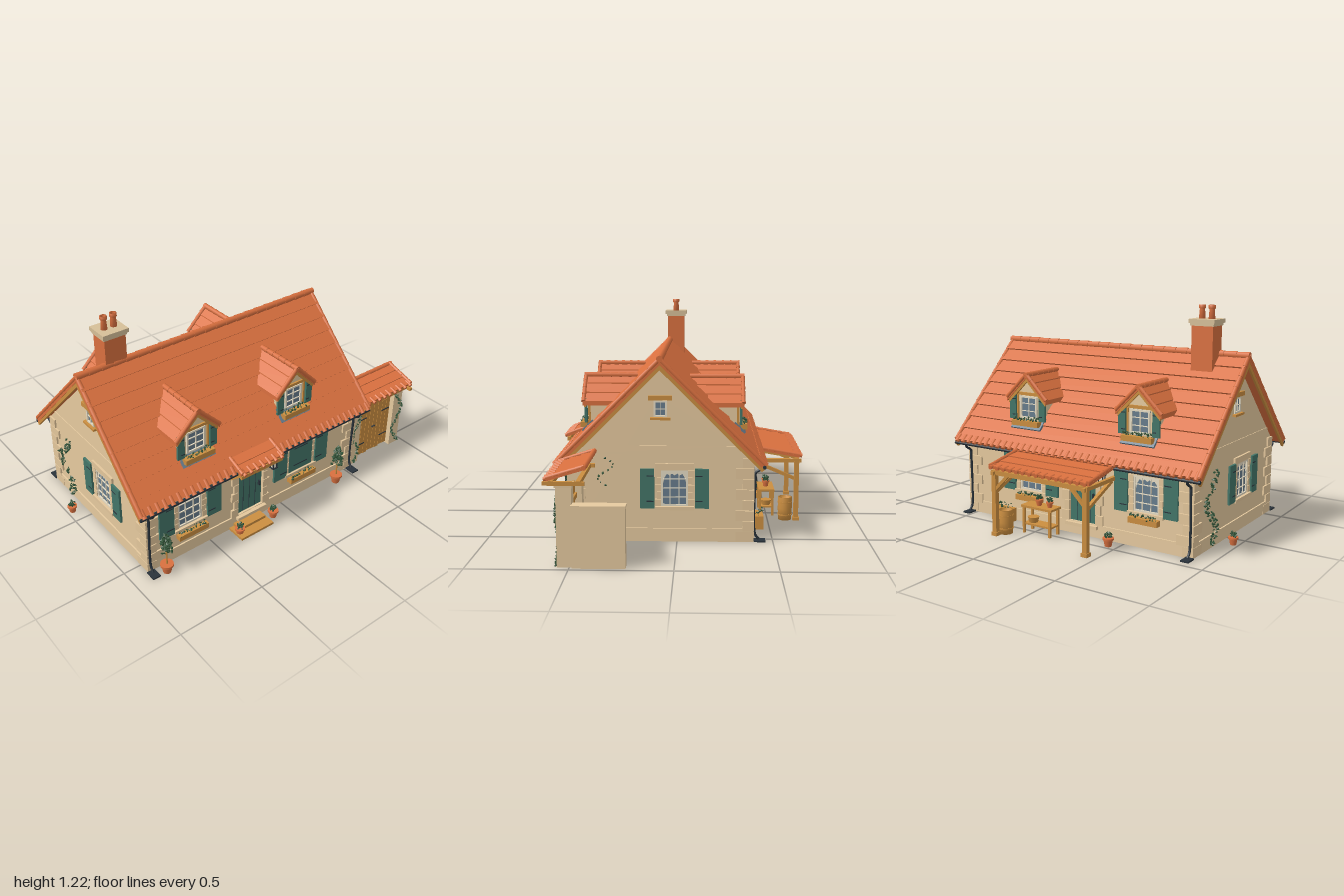
import * as THREE from 'three';
import { mergeGeometries } from 'three/addons/utils/BufferGeometryUtils.js';

const V = (x, y, z) => new THREE.Vector3(x, y, z);
const colours = { tile: 0xd9703f, plaster: 0xe6ca9f, quoin: 0xe3c69b, stone: 0xd6bf98, wood: 0xcb8e40, paint: 0x437568, glass: 0x677c8c, cream: 0xe6dcc4, iron: 0x29323a, leaf: 0x34563a };
const RZ = 0.085, RY = 0.962; // main ridge

export function createModel() {
  const M = {};
  for (const k in colours) { M[k] = new THREE.MeshStandardMaterial({ color: colours[k] }); M[k].name = k; }
  const root = new THREE.Group();
  root.name = 'cottage';
  let seed = 7;
  const rnd = () => (seed = (seed * 16807) % 2147483647) / 2147483647;

  const add = (p, name, mat, geo, x = 0, y = 0, z = 0) => {
    const m = new THREE.Mesh(geo, M[mat]);
    m.name = name; m.position.set(x, y, z); p.add(m);
    return m;
  };
  const box = (p, name, mat, w, h, d, x, y, z) => add(p, name, mat, new THREE.BoxGeometry(w, h, d), x, y, z);
  const cyl = (p, name, mat, rt, rb, h, x, y, z, n = 12) => add(p, name, mat, new THREE.CylinderGeometry(rt, rb, h, n), x, y, z);
  const group = (p, name, x, y, z, ry = 0) => {
    const g = new THREE.Group();
    g.name = name; g.position.set(x, y, z); g.rotation.y = ry; p.add(g);
    return g;
  };
  const rect = (u0, v0, u1, v1) => new THREE.Path([[u0, v0], [u1, v0], [u1, v1], [u0, v1]].map(a => new THREE.Vector2(...a)));
  const extrude = (pts, depth, holes = []) => {
    const s = new THREE.Shape(pts.map(a => new THREE.Vector2(...a)));
    s.holes = holes;
    return new THREE.ExtrudeGeometry(s, { depth, bevelEnabled: false });
  };
  // profile given in (z, y), stretched along x
  const prism = (pts, x0, x1, holes) => extrude(pts, x1 - x0, holes).rotateY(-Math.PI / 2).translate(x1, 0, 0);
  const rod = (a, b, r0, r1, n = 8) => {
    const d = b.clone().sub(a), g = new THREE.CylinderGeometry(r1, r0, d.length(), n);
    g.applyQuaternion(new THREE.Quaternion().setFromUnitVectors(V(0, 1, 0), d.normalize()));
    return g.translate((a.x + b.x) / 2, (a.y + b.y) / 2, (a.z + b.z) / 2);
  };
  const beam = (p, name, mat, a, b, t) => {
    const m = box(p, name, mat, t, a.distanceTo(b), t, 0, 0, 0);
    m.position.copy(a).lerp(b, 0.5);
    m.quaternion.setFromUnitVectors(V(0, 1, 0), b.clone().sub(a).normalize());
  };
  // overlapping round cap tiles from a to b
  const caps = (p, name, a, b, n, r) => add(p, name, 'tile', mergeGeometries(Array.from({ length: n }, (_, i) =>
    rod(a.clone().lerp(b, i / n), a.clone().lerp(b, (i + 1.08) / n), r, r * 0.84))));
  // slab with stepped courses, from top (z, y) to bottom (z, y)
  const slab = (zt, yt, zb, yb, n, step, t, x0, x1) => {
    const dz = zb - zt, dy = yb - yt, l = Math.hypot(dz, dy), nz = -dy / l * Math.sign(dz), ny = Math.abs(dz) / l;
    const pts = [];
    for (let i = 0; i < n; i++) {
      const f = i / n, e = (i + 1) / n;
      pts.push([zt + dz * f, yt + dy * f], [zt + dz * e + nz * step, yt + dy * e + ny * step]);
    }
    pts.push([zb - nz * t, yb - ny * t], [zt - nz * t, yt - ny * t]);
    return prism(pts, x0, x1);
  };
  const eaveTiles = (p, x0, x1, zt, yt, zb, yb, len, r) => {
    const e = V(0, yb, zb), s = V(0, yt, zt).sub(e).setLength(len), n = Math.round((x1 - x0) / 0.042), list = [];
    for (let i = 0; i < n; i++) {
      const x = x0 + (i + 0.5) * (x1 - x0) / n;
      list.push(rod(V(x, yb - s.y * 0.3, zb - s.z * 0.3), V(x, yb + s.y * 0.7, zb + s.z * 0.7), r, r * 0.8));
    }
    add(p, 'eaveTiles', 'tile', mergeGeometries(list));
  };
  const leanTo = (name, x0, x1, zt, yt, zb, yb, n) => {
    const g = group(root, name, 0, 0, 0);
    add(g, 'tileCourses', 'tile', slab(zt, yt, zb, yb, n, 0.006, 0.01, x0, x1));
    eaveTiles(g, x0, x1, zt, yt, zb, yb, 0.045, 0.011);
    for (const x of [x0 + 0.01, x1 - 0.01]) caps(g, 'vergeTiles', V(x, yb + 0.005, zb), V(x, yt + 0.005, zt), n + 2, 0.011);
  };
  const foliage = (p, name, n, s, place) => add(p, name, 'leaf', mergeGeometries(Array.from({ length: n }, (_, i) => {
    const v = place(i / n);
    return new THREE.OctahedronGeometry(s * (0.7 + 0.6 * rnd()), 0).scale(1, 0.8, 0.6).rotateY(rnd() * 6).rotateX(rnd() * 3).translate(v.x, v.y, v.z);
  })));
  const pot = (x, y, z, s, kind) => {
    const g = group(root, 'pottedPlant', x, y, z);
    cyl(g, 'pot', 'tile', 0.85 * s, 0.6 * s, 1.3 * s, 0, 0.65 * s, 0, 14);
    cyl(g, 'potRim', 'tile', s, s, 0.35 * s, 0, 1.35 * s, 0, 14);
    const tree = kind === 'tree';
    if (tree) cyl(g, 'trunk', 'wood', 0.004, 0.005, 0.1, 0, 0.09, 0, 6);
    foliage(g, 'leaves', tree ? 90 : 25, tree ? 0.011 : 0.009, f => {
      const a = rnd() * 6.28, r = (tree ? 0.036 * Math.sqrt(1 - f * 0.85) : 0.6 * s) * Math.sqrt(rnd());
      return V(Math.cos(a) * r, (tree ? 0.14 + f * 0.105 : 1.5 * s + f * s), Math.sin(a) * r);
    });
  };
  const planter = (p, w, h, d, x, y, z) => {
    const g = group(p, 'windowBox', x, y, z);
    box(g, 'trough', 'wood', w, h, d, 0, 0, 0);
    foliage(g, 'leaves', Math.round(w * 180), 0.008, f => V((f - 0.5) * w * 0.9, h / 2 + rnd() * 0.022 - 0.004, (rnd() - 0.5) * d));
  };
  // window facing +z, origin at the middle of the pane on the wall surface
  const windowUnit = (p, name, w, h, sw, o = {}) => {
    const g = group(p, name, o.x || 0, o.y || 0, o.z || 0, o.ry || 0);
    box(g, 'pane', 'glass', w, h, 0.008, 0, 0, -0.004);
    if (!o.closed) {
      for (const s of [-1, 1]) {
        box(g, 'frameSide', 'cream', 0.01, h, 0.016, s * (w / 2 - 0.005), 0, 0);
        box(g, 'frameRail', 'cream', w, 0.01, 0.016, 0, s * (h / 2 - 0.005), 0);
      }
      const c = o.cols || 3, r = o.rows || 4;
      for (let i = 1; i < c; i++) box(g, 'verticalBar', 'cream', 0.004, h, 0.012, (i / c - 0.5) * w, 0, 0);
      for (let i = 1; i < r; i++) box(g, 'crossBar', 'cream', w, 0.004, 0.012, 0, (i / r - 0.5) * h, 0);
    } else {
      box(g, 'closedShutter', 'paint', w, h, 0.01, 0, 0, 0.008);
      for (const y of [-0.3, 0.3]) box(g, 'strap', 'iron', w * 0.6, 0.005, 0.012, 0, y * h, 0.009);
    }
    if (o.curtain) { // scalloped lace drawn to the sides
      const pts = [[-w / 2, h / 2], [-w / 2, -h * 0.3]];
      for (let i = 0; i <= 10; i++) {
        const u = i / 5 - 1;
        pts.push([u * w * 0.48, h * (0.4 - 0.45 * u ** 8 - (i % 2) * 0.05)]);
      }
      pts.push([w / 2, -h * 0.3], [w / 2, h / 2]);
      add(g, 'curtain', 'cream', extrude(pts, 0.0095), 0, 0, -0.0085);
    }
    if (o.stone) {
      for (const s of [-1, 1]) for (let i = 0; i < 5; i++) {
        const bw = i % 2 ? 0.022 : 0.032;
        box(g, 'jambStone', 'quoin', bw, h / 5 - 0.003, 0.02, s * (w / 2 + bw / 2), (i / 5 - 0.4) * h, 0.002);
      }
      box(g, 'lintel', 'quoin', w + 0.06, 0.035, 0.02, 0, h / 2 + 0.018, 0.002);
      box(g, 'sill', 'quoin', w + 0.06, 0.018, 0.035, 0, -h / 2 - 0.009, 0.006);
    }
    if (sw) for (const s of [-1, 1]) {
      const x = s * (w / 2 + (o.gap ?? 0.03) + sw / 2);
      box(g, 'shutter', 'paint', sw, h * 1.1, 0.012, x, 0, 0.014);
      for (const y of [-0.35, 0.35]) box(g, 'hinge', 'iron', sw * 0.5, 0.005, 0.004, x - s * sw * 0.2, y * h, 0.02);
    }
    if (o.box) planter(g, o.box, 0.03, 0.035, 0, -h / 2 - (o.boxDrop ?? 0.038), 0.03);
    return g;
  };

  // hollow walls with openings
  const F = 0.56, B = -0.39, L = -0.89, R = 0.545, T = 0.04, WY = 0.285, WH = 0.19, WW = 0.15;
  const hole = (x, w = WW, y = WY, h = WH) => rect(x - w / 2, y - h / 2, x + w / 2, y + h / 2);
  const doorHole = x => rect(x - 0.085, 0.065, x + 0.085, 0.4);
  const face = [[L, 0], [R, 0], [R, 0.45], [L, 0.45]];
  add(root, 'frontWall', 'plaster', extrude(face, T, [hole(-0.628), hole(0.13), doorHole(-0.225)]), 0, 0, F - T);
  add(root, 'backWall', 'plaster', extrude(face, T, [hole(-0.63), hole(0.1), doorHole(-0.24)]), 0, 0, B);
  const gable = [[B, 0], [F, 0], [F, 0.45], [RZ, 0.922], [B, 0.45]];
  for (const [x0, s, wz] of [[L, -1, 0.165], [R - T, 1, 0.012]]) {
    const xo = s < 0 ? L : R;
    add(root, 'gableWall', 'plaster', prism(gable, x0, x0 + T, [hole(wz), hole(RZ, 0.07, 0.7, 0.085)]));
    box(root, 'stringCourse', 'plaster', 0.008, 0.045, 0.85, xo, 0.485, RZ);
    box(root, 'plinth', 'plaster', 0.016, 0.07, F - B + 0.016, xo, 0.035, RZ);
    windowUnit(root, 'gableWindow', WW - 0.01, WH, 0.073, { x: xo, y: WY, z: wz, ry: s * Math.PI / 2, stone: true, gap: 0.035, curtain: true });
    const a = windowUnit(root, 'atticWindow', 0.07, 0.085, 0, { x: xo, y: 0.7, z: RZ, ry: s * Math.PI / 2, cols: 2, rows: 2 });
    box(a, 'atticLintel', 'wood', 0.12, 0.024, 0.024, 0, 0.057, 0.006);
    box(a, 'atticSill', 'wood', 0.105, 0.012, 0.026, 0, -0.05, 0.008);
  }
  for (const z of [F, B]) box(root, 'plinth', 'plaster', R - L, 0.07, 0.016, (L + R) / 2, 0.035, z);
  // corner stones, wrapping each corner with two shallow blocks
  for (const [x, sx] of [[L, 1], [R, -1]]) for (const [z, sz] of [[F, -1], [B, 1]]) for (let i = 0; i < 8; i++) {
    const a = i % 2 ? 0.095 : 0.06, b = i % 2 ? 0.06 : 0.095, y = 0.028 + i * 0.056, t = 0.03;
    box(root, 'cornerStone', 'quoin', a, 0.052, t, x + sx * (a / 2 - 0.01), y, z + sz * (t / 2 - 0.01));
    box(root, 'cornerStone', 'quoin', t, 0.052, b, x + sx * (t / 2 - 0.01), y, z + sz * (b / 2 - 0.01));
  }

  // windows and doors of the long walls
  windowUnit(root, 'frontWindow', WW, WH, 0.09, { x: -0.628, y: WY, z: F, stone: true, box: 0.185, curtain: true });
  windowUnit(root, 'shutteredWindow', WW + 0.02, WH, 0.092, { x: 0.13, y: WY, z: F, stone: true, box: 0.185, closed: true, curtain: true, gap: 0.02 });
  for (const x of [-0.63, 0.1]) windowUnit(root, 'backWindow', WW, WH, 0.08, { x, y: WY, z: B, ry: Math.PI, stone: true, box: 0.17, curtain: true });
  for (const [x, z, ry] of [[-0.225, F, 0], [-0.24, B, Math.PI]]) {
    const d = group(root, 'door', x, 0, z, ry);
    box(d, 'doorLeaf', 'paint', 0.17, 0.335, 0.02, 0, 0.2325, -0.015);
    for (const i of [-1, 0, 1]) box(d, 'plankJoint', 'iron', 0.002, 0.32, 0.003, i * 0.042, 0.2325, -0.004);
    box(d, 'handle', 'iron', 0.008, 0.03, 0.016, 0.065, 0.22, 0);
    for (const s of [-1, 1]) for (let i = 0; i < 6; i++)
      box(d, 'doorStone', 'quoin', i % 2 ? 0.03 : 0.045, 0.052, 0.022, s * (i % 2 ? 0.1 : 0.1075), 0.097 + i * 0.055, 0.002);
    box(d, 'doorLintel', 'quoin', 0.25, 0.04, 0.022, 0, 0.42, 0.002);
    box(d, 'threshold', 'quoin', 0.2, 0.018, 0.04, 0, 0.058, 0.01);
  }
  box(root, 'lowerStep', 'wood', 0.22, 0.014, 0.11, -0.26, 0.007, 0.625);
  box(root, 'upperStep', 'wood', 0.18, 0.016, 0.06, -0.25, 0.022, 0.595);

  // main roof
  const X0 = -0.955, X1 = 0.612;
  for (const s of [1, -1]) {
    const ze = RZ + s * 0.533, ye = RY - 0.537;
    add(root, 'roofCourses', 'tile', slab(RZ, RY, ze, ye, 9, 0.01, 0.022, X0, X1));
    add(root, 'roofLining', 'wood', slab(RZ, RY - 0.035, RZ + s * 0.46, RY - 0.5, 1, 0, 0.006, L + T, R - T));
    eaveTiles(root, X0, X1, RZ, RY, ze, ye + 0.004, 0.05, 0.013);
    for (const x of [X0 + 0.008, X1 - 0.008]) {
      caps(root, 'vergeTiles', V(x, ye + 0.004, ze), V(x, RY - 0.002, RZ), 11, 0.013);
      add(root, 'bargeBoard', 'wood', slab(RZ, RY - 0.03, ze, ye - 0.025, 1, 0, 0.02, x - 0.006, x + 0.006));
    }
    add(root, 'gutter', 'iron', rod(V(X0, ye - 0.016, ze), V(X1, ye - 0.016, ze), 0.009, 0.009, 10));
    // downpipes with a shoe at the foot
    const w = s > 0 ? F + 0.016 : B - 0.016;
    for (const x of [L + 0.006, R - 0.012]) {
      const path = new THREE.CatmullRomCurve3([V(x, ye - 0.02, ze), V(x, ye - 0.035, ze - s * 0.005), V(x, 0.365, w), V(x, 0.34, w), V(x, 0.04, w), V(x, 0.012, w + s * 0.02)]);
      add(root, 'downpipe', 'iron', new THREE.TubeGeometry(path, 28, 0.007, 8));
      box(root, 'splashPlate', 'iron', 0.045, 0.008, 0.06, x, 0.004, w + s * 0.025);
    }
  }
  caps(root, 'ridgeTiles', V(X0, RY, RZ), V(X1, RY, RZ), 22, 0.02);

  // dormers
  const weld = (geo, lim) => { // run the rear end down to the main roof slope
    const p = geo.attributes.position;
    for (let i = 0; i < p.count; i++) if (p.getZ(i) < 0.01) p.setZ(i, Math.min(lim, RY - 0.012 - p.getY(i)));
    geo.computeVertexNormals();
    return geo;
  };
  for (const [x, ry] of [[-0.535, 0], [0.117, 0], [-0.55, Math.PI], [0.166, Math.PI]]) {
    const d = group(root, 'dormer', x, 0, RZ, ry);
    add(d, 'dormerBody', 'plaster', weld(extrude([[-0.085, 0.545], [0.085, 0.545], [0.085, 0.72], [0, 0.805], [-0.085, 0.72]], 0.41), 0.409));
    for (const s of [1, -1]) {
      const at = (u, o) => [s * u, 0.823 - o - u];
      const courses = [0, 1, 2].flatMap(i => [at(i * 0.045, 0), at((i + 1) * 0.045, -0.006)]);
      add(d, 'dormerRoof', 'tile', weld(extrude([...courses, at(0.135, 0.018), at(0, 0.018)], 0.44), 0.439));
      add(d, 'dormerBoard', 'wood', extrude([at(0, 0.018), at(0.125, 0.018), at(0.125, 0.038), at(0, 0.038)], 0.012), 0, 0, 0.422);
      caps(d, 'dormerVerge', V(s * 0.135, 0.693, 0.436), V(0, 0.828, 0.436), 4, 0.012);
      box(d, 'cornerPost', 'wood', 0.014, 0.15, 0.014, s * 0.079, 0.63, 0.41);
    }
    caps(d, 'dormerRidge', V(0, 0.823, 0.445), V(0, 0.823, 0.15), 6, 0.016);
    windowUnit(d, 'dormerWindow', 0.115, 0.125, 0.042, { y: 0.64, z: 0.412, cols: 2, rows: 3, gap: 0.022, box: 0.18, boxDrop: 0.022 });
    box(d, 'dormerLintel', 'wood', 0.17, 0.016, 0.016, 0, 0.715, 0.412);
    add(d, 'leadApron', 'glass', slab(0.395, RY - 0.378, 0.452, RY - 0.435, 1, 0, 0.012, -0.1, 0.1));
  }

  // chimney
  box(root, 'chimneyStack', 'tile', 0.123, 0.27, 0.106, -0.725, 0.985, 0.045);
  box(root, 'chimneyCollar', 'stone', 0.135, 0.014, 0.118, -0.725, 1.118, 0.045);
  box(root, 'chimneyCap', 'stone', 0.148, 0.022, 0.134, -0.725, 1.135, 0.045);
  const potProfile = [[0, 0], [0.018, 0], [0.014, 0.05], [0.019, 0.055], [0.019, 0.072], [0.012, 0.072], [0.01, 0.03], [0, 0.03]].map(a => new THREE.Vector2(...a));
  for (const s of [-1, 1]) add(root, 'chimneyPot', 'tile', new THREE.LatheGeometry(potProfile, 14), -0.725 + s * 0.028, 1.146, 0.045);

  // door canopy and lanterns
  leanTo('doorCanopy', -0.375, -0.085, 0.56, 0.482, 0.67, 0.44, 2);
  for (const x of [-0.35, -0.11]) {
    beam(root, 'canopyBracket', 'wood', V(x, 0.34, F), V(x, 0.41, 0.64), 0.016);
    beam(root, 'canopyRail', 'wood', V(x, 0.412, F), V(x, 0.412, 0.665), 0.016);
  }
  box(root, 'canopyFascia', 'wood', 0.28, 0.022, 0.016, -0.23, 0.416, 0.66);
  for (const [x, z, s] of [[-0.09, F, 1], [-0.38, B, -1]]) {
    const l = group(root, 'lantern', x, 0.335, z + s * 0.035);
    box(l, 'lampGlass', 'cream', 0.022, 0.04, 0.022, 0, 0, 0);
    for (const a of [-1, 1]) for (const b of [-1, 1]) box(l, 'lampBar', 'iron', 0.005, 0.044, 0.005, a * 0.012, 0, b * 0.012);
    box(l, 'lampBase', 'iron', 0.034, 0.006, 0.034, 0, -0.023, 0);
    cyl(l, 'lampHood', 'iron', 0.004, 0.026, 0.022, 0, 0.032, 0, 8);
    box(l, 'lampArm', 'iron', 0.006, 0.006, 0.04, 0, 0.045, -s * 0.018);
  }

  // side gate with its little roof and garden wall
  leanTo('gateRoof', 0.6, 0.99, 0.42, 0.49, 0.6, 0.435, 3);
  caps(root, 'gateRidge', V(0.6, 0.49, 0.42), V(0.99, 0.49, 0.42), 6, 0.014);
  for (const z of [0.45, 0.58]) box(root, 'gateBeam', 'wood', 0.38, 0.022, 0.022, 0.785, 0.412, z);
  for (const x of [0.58, 0.965]) box(root, 'gateRafter', 'wood', 0.018, 0.018, 0.2, x, 0.41, 0.52);
  for (const x of [0.585, 0.93]) {
    box(root, 'gatePost', 'plaster', 0.07, 0.39, 0.075, x, 0.195, 0.522);
    box(root, 'gatePostCap', 'quoin', 0.082, 0.014, 0.085, x, 0.396, 0.522);
  }
  box(root, 'gardenWall', 'plaster', 0.055, 0.295, 0.255, 0.955, 0.1475, 0.3575);
  box(root, 'gardenWallCap', 'plaster', 0.065, 0.012, 0.262, 0.955, 0.301, 0.3575);
  for (let i = 0; i < 8; i++) box(root, 'gatePlank', 'wood', 0.031, 0.325 + (i % 3) * 0.008, 0.014, 0.642 + i * 0.0335, 0.178, 0.525);
  for (const y of [0.09, 0.27]) {
    box(root, 'gateRail', 'wood', 0.26, 0.025, 0.012, 0.76, y, 0.513);
    for (const x of [0.665, 0.855]) box(root, 'gateHinge', 'iron', 0.06, 0.005, 0.004, x, y, 0.534);
  }
  for (const x of [0.752, 0.768]) add(root, 'gateKnob', 'iron', new THREE.SphereGeometry(0.006, 8, 6), x, 0.185, 0.536);

  // rear porch
  leanTo('porchRoof', -0.47, 0.17, -0.385, 0.428, -0.675, 0.377, 4);
  box(root, 'porchBeam', 'wood', 0.61, 0.024, 0.024, -0.15, 0.347, -0.66);
  for (const x of [-0.44, 0.14]) {
    box(root, 'porchPost', 'wood', 0.026, 0.34, 0.026, x, 0.17, -0.66);
    box(root, 'postFoot', 'wood', 0.036, 0.02, 0.036, x, 0.01, -0.66);
    box(root, 'porchTie', 'wood', 0.02, 0.02, 0.3, x, 0.345, -0.535);
    beam(root, 'porchBrace', 'wood', V(x, 0.24, -0.655), V(x, 0.335, -0.43), 0.018);
    beam(root, 'sideBrace', 'wood', V(x, 0.25, -0.66), V(x + (x < 0 ? 0.09 : -0.09), 0.34, -0.66), 0.016);
  }
  for (let i = 0; i < 5; i++) beam(root, 'porchRafter', 'wood', V(-0.42 + i * 0.135, 0.405, -0.39), V(-0.42 + i * 0.135, 0.358, -0.665), 0.014);
  // barrel, table and crate
  const barrel = [[0, 0], [0.037, 0], [0.04, 0.065], [0.039, 0.13], [0.032, 0.13], [0.032, 0.11], [0, 0.11]].map(a => new THREE.Vector2(...a));
  add(root, 'barrel', 'wood', new THREE.LatheGeometry(barrel, 16), 0.12, 0, -0.6);
  for (const y of [0.03, 0.1]) cyl(root, 'barrelHoop', 'wood', 0.0415, 0.0415, 0.007, 0.12, y, -0.6, 16);
  const table = group(root, 'pottingTable', -0.04, 0, -0.5);
  box(table, 'tableTop', 'wood', 0.2, 0.012, 0.09, 0, 0.148, 0);
  box(table, 'tableShelf', 'wood', 0.18, 0.01, 0.07, 0, 0.05, 0);
  cyl(table, 'basket', 'wood', 0.032, 0.024, 0.03, 0.05, 0.07, 0);
  for (const x of [-0.085, 0.085]) for (const z of [-0.036, 0.036]) box(table, 'tableLeg', 'wood', 0.013, 0.145, 0.013, x, 0.072, z);
  planter(root, 0.13, 0.075, 0.06, 0.27, 0.038, -0.435);

  // plants
  pot(-0.815, 0, 0.62, 0.036, 'tree');
  pot(0.38, 0, 0.62, 0.036, 'tree');
  for (const [x, y, z, s] of [[-0.345, 0, 0.63, 0.028], [-0.11, 0, 0.63, 0.03], [-0.97, 0, -0.085, 0.027], [-0.45, 0, -0.47, 0.03], [-0.1, 0.154, -0.5, 0.02], [-0.03, 0.154, -0.5, 0.022]]) pot(x, y, z, s, 'bush');
  for (const [x, ph] of [[0.583, 0], [0.93, 2]])
    foliage(root, 'ivy', 55, 0.009, f => V(x + 0.028 * Math.sin(f * 9 + ph) + (rnd() - 0.5) * 0.025, 0.01 + f * 0.38, 0.564));
  foliage(root, 'ivy', 75, 0.01, f => V(L - 0.012 - rnd() * 0.012, 0.02 + f * 0.39, -0.22 + 0.05 * Math.sin(f * 8) + (rnd() - 0.5) * 0.06));
  foliage(root, 'ivy', 10, 0.009, f => V(R + 0.01, 0.3 + f * 0.16, 0.37 + 0.04 * Math.sin(f * 7)));
  return root;
}
